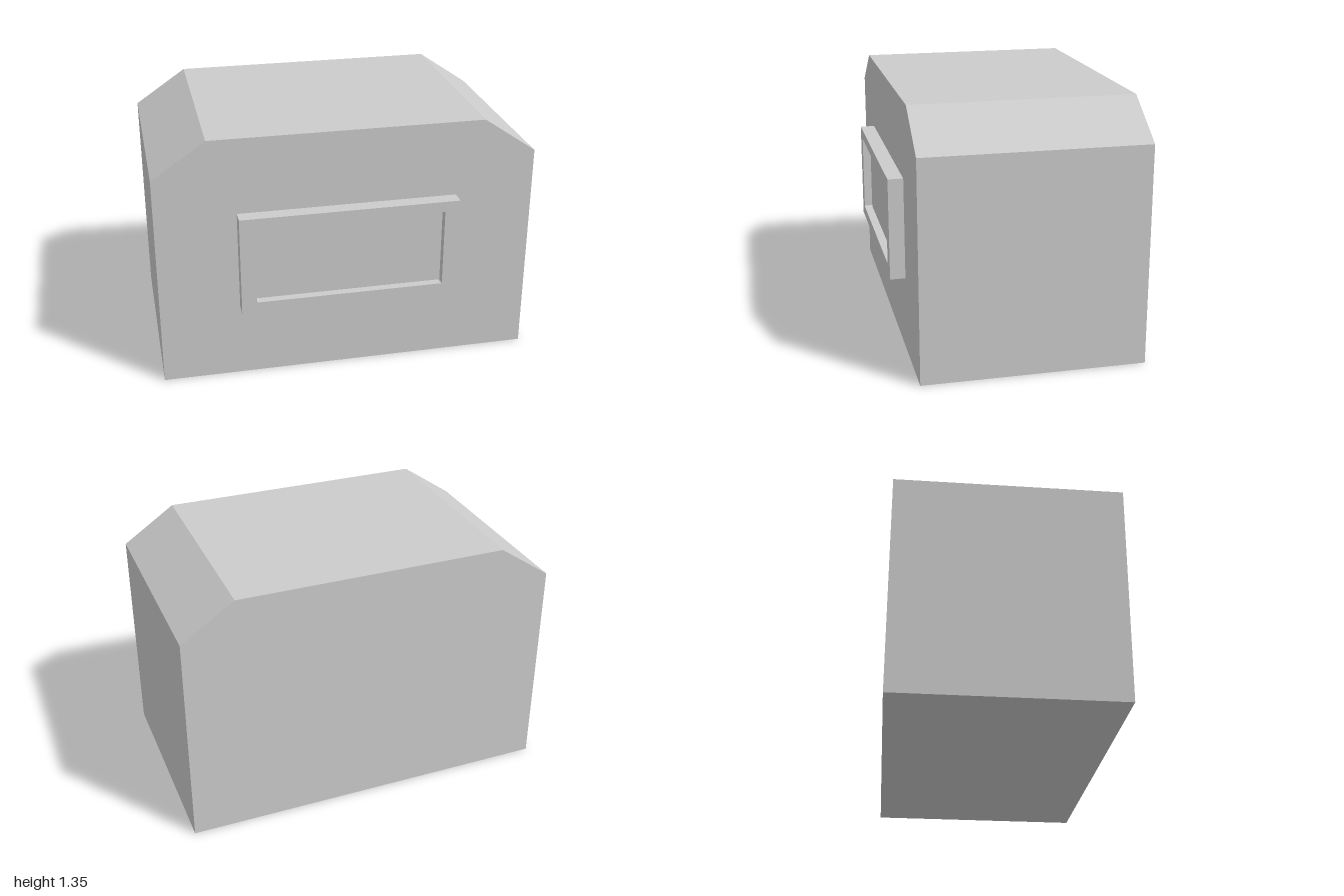
import * as THREE from 'three';

const FRONT = 0.545, BACK = -0.625, FRAME_FRONT = 0.625;

// Rounded rectangle outline, used for the frame opening
function roundedRect(path, x0, y0, x1, y1, r) {
  path.moveTo(x0 + r, y0);
  path.lineTo(x1 - r, y0);
  path.absarc(x1 - r, y0 + r, r, -Math.PI / 2, 0);
  path.lineTo(x1, y1 - r);
  path.absarc(x1 - r, y1 - r, r, 0, Math.PI / 2);
  path.lineTo(x0 + r, y1);
  path.absarc(x0 + r, y1 - r, r, Math.PI / 2, Math.PI);
  path.lineTo(x0, y0 + r);
  path.absarc(x0 + r, y0 + r, r, Math.PI, Math.PI * 1.5);
  return path;
}

export function createModel() {
  const group = new THREE.Group();
  const material = new THREE.MeshStandardMaterial({ color: 0xcccccc });

  // Extrudes a front-facing outline from z0 to z1
  function addExtrusion(name, shape, z0, z1) {
    const geometry = new THREE.ExtrudeGeometry(shape, {
      depth: z1 - z0, bevelEnabled: false, curveSegments: 4,
    });
    geometry.translate(0, 0, z0);
    const mesh = new THREE.Mesh(geometry, material);
    mesh.name = name;
    group.add(mesh);
  }

  // Main block with chamfered top shoulders
  const body = new THREE.Shape([
    [-1, 0], [1, 0], [1, 1.16], [0.72, 1.35], [-0.72, 1.35], [-1, 1.16],
  ].map(([x, y]) => new THREE.Vector2(x, y)));
  addExtrusion('body', body, BACK, FRONT);

  // Raised rectangular frame on the front
  const frame = new THREE.Shape([
    [-0.58, 0.405], [0.58, 0.405], [0.58, 0.943], [-0.58, 0.943],
  ].map(([x, y]) => new THREE.Vector2(x, y)));
  frame.holes.push(roundedRect(new THREE.Path(), -0.5, 0.463, 0.5, 0.887, 0.01));
  addExtrusion('frame', frame, FRONT, FRAME_FRONT);

  // Panel set back inside the frame
  const panel = roundedRect(new THREE.Shape(), -0.5, 0.463, 0.5, 0.887, 0.01);
  addExtrusion('recessedPanel', panel, FRONT, FRAME_FRONT - 0.045);

  return group;
}
